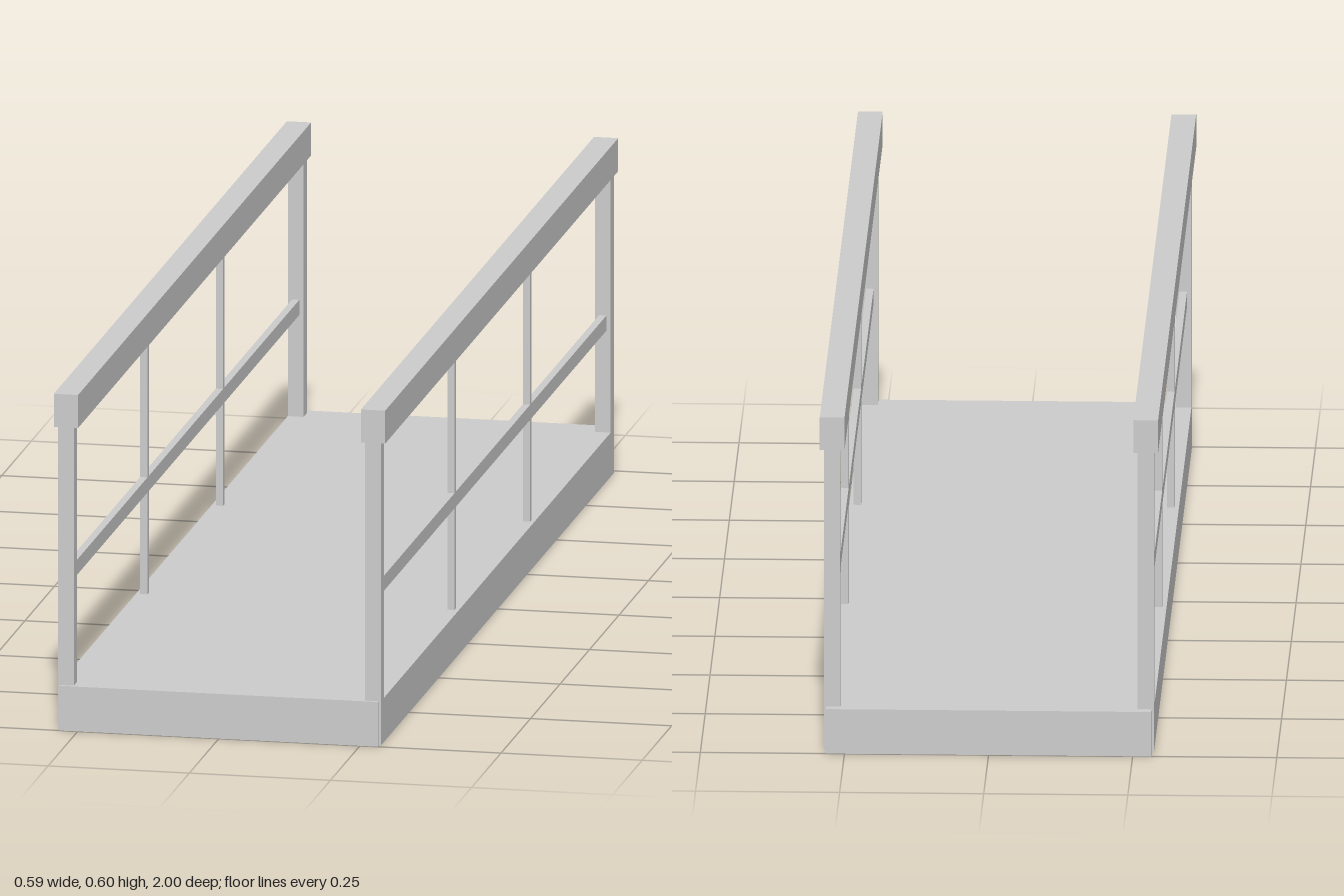
import * as THREE from 'three';

const material = new THREE.MeshStandardMaterial({ color: 0xcccccc, flatShading: true });

// Box given by its lower and upper limits on each axis
function box(name, [x0, x1], [y0, y1], [z0, z1]) {
  const mesh = new THREE.Mesh(new THREE.BoxGeometry(x1 - x0, y1 - y0, z1 - z0), material);
  mesh.position.set((x0 + x1) / 2, (y0 + y1) / 2, (z0 + z1) / 2);
  mesh.name = name;
  return mesh;
}

const DECK_TOP = 0.08;
const RAIL_BOTTOM = 0.541;
const BACK = -0.982, FRONT = 0.994; // ends of the railing
const POST = 0.028;                 // end post thickness
const POST_X = [0.258, 0.286];

// side = 1 for left (+x), -1 for right
function createRailing(side) {
  const railing = new THREE.Group();
  railing.name = side > 0 ? 'leftRailing' : 'rightRailing';
  const span = (a, b) => (side > 0 ? [a, b] : [-b, -a]);
  const postX = span(...POST_X);
  const thinX = span(0.2655, 0.2785);

  railing.add(
    box('sideBeam', postX, [0.001, DECK_TOP], [BACK, FRONT]),
    box('handrail', span(0.2505, 0.2935), [RAIL_BOTTOM, 0.6], [BACK, FRONT]),
    box('midRail', thinX, [0.262, 0.289], [BACK + POST, FRONT - POST]),
    box('frontPost', postX, [DECK_TOP, RAIL_BOTTOM], [FRONT - POST, FRONT]),
    box('backPost', postX, [DECK_TOP, RAIL_BOTTOM], [BACK, BACK + POST])
  );

  // Slim balusters divide the railing into three bays
  for (const z of [0.327, -0.314]) {
    railing.add(box('baluster', thinX, [DECK_TOP, RAIL_BOTTOM], [z - 0.0065, z + 0.0065]));
  }
  return railing;
}

export function createModel() {
  const model = new THREE.Group();
  model.name = 'footbridge';
  model.add(box('deck', [-0.282, 0.282], [0, DECK_TOP], [-1, 1]));
  for (const side of [1, -1]) model.add(createRailing(side));
  return model;
}
